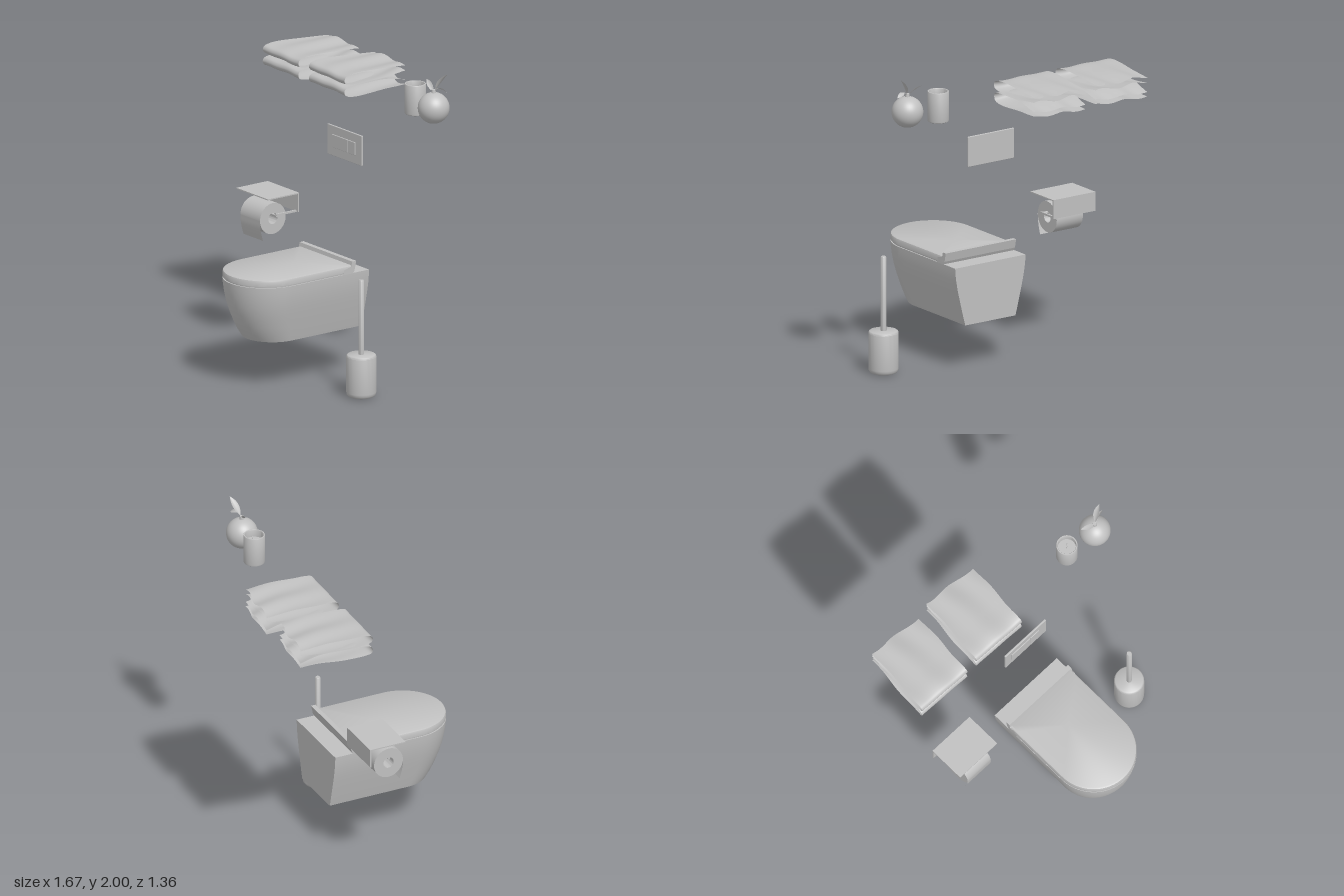
import * as THREE from 'three';
import { toCreasedNormals } from 'three/addons/utils/BufferGeometryUtils.js';
import { RoundedBoxGeometry } from 'three/addons/geometries/RoundedBoxGeometry.js';

const grey = new THREE.MeshStandardMaterial({ color: 0xc0c0c0, side: THREE.DoubleSide });
grey.name = 'plain grey';

function add(parent, name, geometry, x = 0, y = 0, z = 0) {
  const mesh = new THREE.Mesh(geometry, grey);
  mesh.name = name;
  mesh.position.set(x, y, z);
  parent.add(mesh);
  return mesh;
}

function group(parent, name, x = 0, y = 0, z = 0) {
  const g = new THREE.Group();
  g.name = name;
  g.position.set(x, y, z);
  parent.add(g);
  return g;
}

const lathe = (points, sides = 40) => toCreasedNormals(
  new THREE.LatheGeometry(points.map(([r, y]) => new THREE.Vector2(r, y)), sides), 0.7);

// Closed stack of D-shaped outlines, each [y, half width, back z, front z]
function dLoft(levels) {
  const straight = 8, arc = 36, pos = [], idx = [];
  const n = 2 * straight + arc + 1;
  for (const [y, w, back, front] of levels) {
    const zc = front - w * 1.02;
    for (let i = 0; i < straight; i++) pos.push(-w, y, back + (zc - back) * i / straight);
    for (let i = 0; i <= arc; i++) {
      const a = Math.PI * i / arc;
      pos.push(-w * Math.cos(a), y, zc + (front - zc) * Math.sin(a));
    }
    for (let i = straight - 1; i >= 0; i--) pos.push(w, y, back + (zc - back) * i / straight);
  }
  for (let r = 0; r < levels.length - 1; r++) {
    for (let j = 0; j < n; j++) {
      const a = r * n + j, b = r * n + (j + 1) % n;
      idx.push(a, b, b + n, a, b + n, a + n);
    }
  }
  const top = (levels.length - 1) * n, c = pos.length / 3;
  pos.push(0, levels[0][0], 0.2, 0, levels[levels.length - 1][0], 0.2);
  for (let j = 0; j < n; j++) {
    const k = (j + 1) % n;
    idx.push(c, k, j, c + 1, top + j, top + k);
  }
  const g = new THREE.BufferGeometry();
  g.setAttribute('position', new THREE.Float32BufferAttribute(pos, 3));
  g.setIndex(idx);
  return toCreasedNormals(g, 0.7);
}

// Sheet folded over at the front; its two layers nearly meet at the back
function foldedTowel(y0, height, tipLow, tipHigh, seed) {
  const path = new THREE.CatmullRomCurve3([
    [tipLow, -0.66], [y0 + 0.008, -0.52], [y0, -0.38], [y0 + 0.002, -0.25], [y0 + height * 0.2, -0.208],
    [y0 + height * 0.5, -0.198], [y0 + height * 0.8, -0.208], [y0 + height - 0.002, -0.25],
    [y0 + height, -0.38], [y0 + height - 0.002, -0.52], [tipHigh, -0.66],
  ].map(([y, z]) => new THREE.Vector3(0, y, z)));
  const g = new THREE.PlaneGeometry(1, 1, 36, 60);
  const p = g.attributes.position;
  for (let i = 0; i < p.count; i++) {
    const u = p.getX(i) + 0.5, v = p.getY(i) + 0.5;
    const q = path.getPoint(v);
    const t = (-0.2 - q.z) / 0.46;
    const ripple = 0.002 + 0.006 * t;
    const y = q.y + ripple * Math.sin(u * 11 + t * 2.5 + seed) - 0.002 * Math.cos(u * 5 + seed);
    const x = -0.838 + u * (0.372 - 0.01 * t) + 0.04 * t + 0.004 * Math.sin(t * 9 + seed);
    const z = q.z + t * (0.035 * (u - 0.5) + 0.008 * Math.sin(u * 9)) + (1 - t) * 0.012 * (u - 0.5);
    p.setXYZ(i, x, y, z);
  }
  g.computeVertexNormals();
  return g;
}

// Pointed leaf between two points, slightly cupped along its middle
function leaf(from, to, width) {
  const a = new THREE.Vector3(...from), b = new THREE.Vector3(...to);
  const dir = b.clone().sub(a);
  const side = new THREE.Vector3(-dir.z, 0, dir.x).normalize();
  side.add(new THREE.Vector3(0, 0.7, 0).projectOnPlane(dir.clone().normalize())).normalize();
  const up = side.clone().cross(dir).normalize();
  const g = new THREE.PlaneGeometry(1, 1, 4, 12);
  const p = g.attributes.position;
  for (let i = 0; i < p.count; i++) {
    const s = p.getX(i) * 2, t = p.getY(i) + 0.5;
    const w = width * Math.pow(Math.sin(Math.PI * t), 0.9);
    const v = a.clone().addScaledVector(dir, t).addScaledVector(side, s * w)
      .addScaledVector(up, 0.3 * w * s * s + 0.006 * Math.sin(Math.PI * t));
    p.setXYZ(i, v.x, v.y, v.z);
  }
  g.computeVertexNormals();
  return g;
}

function buildToilet(root) {
  const g = group(root, 'toilet', 0.01, 0, 0);
  add(g, 'bowl', dLoft([
    [0.30, 0.188, -0.17, 0.555], [0.34, 0.199, -0.17, 0.582], [0.40, 0.214, -0.17, 0.613],
    [0.47, 0.231, -0.17, 0.642], [0.53, 0.245, -0.17, 0.661], [0.59, 0.256, -0.17, 0.673],
    [0.64, 0.262, -0.17, 0.680], [0.672, 0.264, -0.17, 0.682],
  ]));
  add(g, 'lid', dLoft([
    [0.672, 0.256, -0.05, 0.673], [0.680, 0.257, -0.05, 0.674], [0.682, 0.264, -0.05, 0.682],
    [0.706, 0.264, -0.05, 0.682], [0.717, 0.260, -0.047, 0.678], [0.722, 0.250, -0.04, 0.668],
  ]));
  // Slanted bar behind the lid
  const bar = new THREE.Shape([[-0.02, 0.70], [0.035, 0.715], [0.042, 0.745], [0.072, 0.745], [0.06, 0.69], [0.05, 0.67], [-0.02, 0.67]]
    .map(([z, y]) => new THREE.Vector2(z, y)));
  const barGeo = new THREE.ExtrudeGeometry(bar, { depth: 0.528, bevelEnabled: false });
  barGeo.rotateY(Math.PI / 2);
  add(g, 'hinge bar', barGeo, -0.264, 0, 0);
}

function buildFlushPlate(root) {
  const g = group(root, 'flush plate', 0.0175, 1.4, -0.183);
  add(g, 'plate', new RoundedBoxGeometry(0.345, 0.19, 0.012, 2, 0.003));
  add(g, 'large button', new RoundedBoxGeometry(0.156, 0.082, 0.012, 2, 0.003), -0.043, 0, 0.005);
  add(g, 'small button', new RoundedBoxGeometry(0.074, 0.082, 0.012, 2, 0.003), 0.074, 0, 0.005);
}

function buildPaperHolder(root) {
  const g = group(root, 'paper holder');
  const x = -0.6075, width = 0.315;
  add(g, 'shelf', new THREE.BoxGeometry(width, 0.007, 0.24), x, 0.982, -0.068);
  add(g, 'wall plate', new THREE.BoxGeometry(width, 0.12, 0.007), x, 0.925, -0.184);
  add(g, 'arm', new THREE.BoxGeometry(0.012, 0.012, 0.16), -0.475, 0.866, -0.108);
  const rod = add(g, 'rod', new THREE.CylinderGeometry(0.008, 0.008, 0.24, 16), -0.59, 0.862, -0.034);
  rod.rotation.z = Math.PI / 2;
  // Roll with an open core
  const roll = add(g, 'roll', lathe([[0.035, -0.098], [0.098, -0.098], [0.098, 0.098], [0.035, 0.098], [0.035, -0.098]]), -0.612, 0.834, -0.036);
  roll.rotation.z = Math.PI / 2;
  const curve = new THREE.CatmullRomCurve3([[0.834, 0.0635], [0.79, 0.06], [0.745, 0.051], [0.705, 0.039]]
    .map(([y, z]) => new THREE.Vector3(0, y, z)));
  const sheet = new THREE.PlaneGeometry(0.196, 1, 1, 12);
  const p = sheet.attributes.position;
  for (let i = 0; i < p.count; i++) {
    const q = curve.getPoint(0.5 - p.getY(i));
    p.setXYZ(i, p.getX(i), q.y, q.z);
  }
  sheet.computeVertexNormals();
  add(g, 'loose sheet', sheet, -0.612, 0, 0);
}

function buildBrush(root) {
  const g = group(root, 'toilet brush', 0.593, 0, 0.132);
  add(g, 'brush pot', lathe([[0, 0], [0.07, 0], [0.082, 0.005], [0.09, 0.016], [0.092, 0.03],
    [0.092, 0.252], [0.09, 0.26], [0.084, 0.265], [0, 0.265]]));
  add(g, 'brush handle', lathe([[0.017, 0.26], [0.017, 0.73], [0.014, 0.735], [0, 0.735]], 20));
}

function buildShelfItems(root) {
  const candle = group(root, 'candle', 0.521, 1.688, -0.335);
  add(candle, 'candle cup', lathe([[0, 0], [0.058, 0], [0.064, 0.004], [0.066, 0.012], [0.066, 0.188],
    [0.064, 0.192], [0.058, 0.192], [0.056, 0.188], [0.056, 0.145], [0, 0.145]]));
  const wick = add(candle, 'wick', new THREE.CylinderGeometry(0.003, 0.003, 0.035, 8), 0.004, 0.16, -0.004);
  wick.rotation.set(-0.4, 0, -0.5);

  const fruit = group(root, 'fruit', 0.735, 1.779, -0.312);
  add(fruit, 'fruit body', new THREE.SphereGeometry(0.097, 40, 28));
  add(fruit, 'stem', new THREE.CylinderGeometry(0.012, 0.016, 0.03, 12), 0, 0.1, 0);
  add(fruit, 'left leaf', leaf([0.03, 0.128, -0.01], [0.097, 0.108, -0.03], 0.014));
  add(fruit, 'tall leaf', leaf([0.008, 0.115, -0.005], [0.081, 0.223, -0.043], 0.02));
  add(fruit, 'right leaf', leaf([0, 0.1, 0], [-0.098, 0.156, -0.022], 0.016));
  add(fruit, 'leaf stalk', new THREE.TubeGeometry(new THREE.LineCurve3(
    new THREE.Vector3(0, 0.105, 0), new THREE.Vector3(0.032, 0.129, -0.01)), 2, 0.003, 6));

  // Two identical stacks of two folded towels
  for (const [name, x] of [['right towels', 0], ['left towels', 0.462]]) {
    const g = group(root, name, x, 0, 0);
    add(g, 'lower towel', foldedTowel(1.69, 0.07, 1.698, 1.727, 0.4));
    add(g, 'upper towel', foldedTowel(1.763, 0.068, 1.79, 1.822, 2.1));
  }
}

export function createModel() {
  const root = new THREE.Group();
  root.name = 'bathroom set';
  buildToilet(root);
  buildFlushPlate(root);
  buildPaperHolder(root);
  buildBrush(root);
  buildShelfItems(root);
  return root;
}
